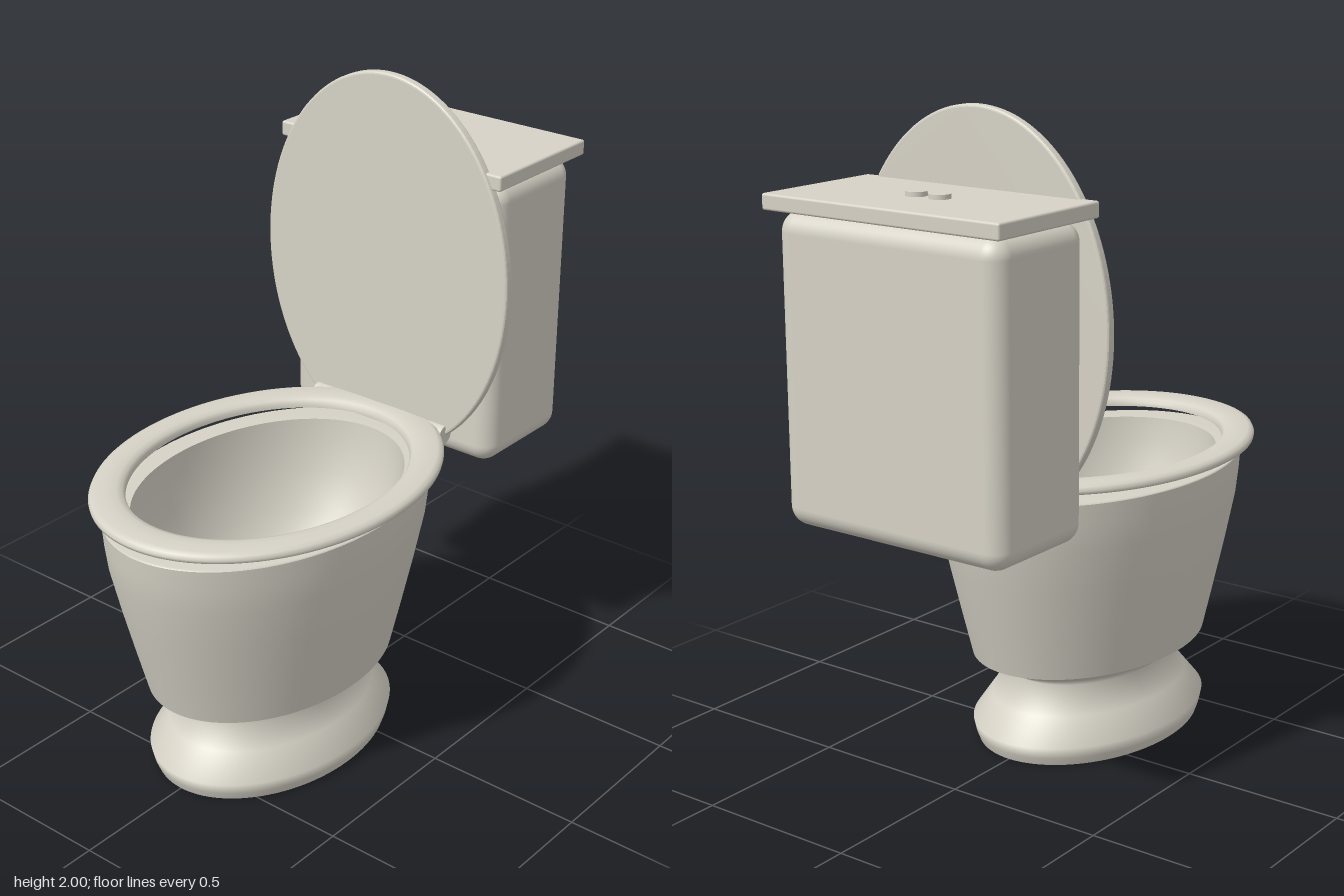
import * as THREE from 'three';
import { RoundedBoxGeometry } from 'three/addons/geometries/RoundedBoxGeometry.js';

export function createModel() {
  const group = new THREE.Group();
  const ceramic = new THREE.MeshStandardMaterial({ color: 0xd6d2c6 });
  ceramic.name = 'ceramic';
  const bowlZ = 0.187; // centre of all the oval parts
  const oval = 0.71; // width of the ovals relative to their length

  function add(name, geometry, x = 0, y = 0, z = 0) {
    const mesh = new THREE.Mesh(geometry, ceramic);
    mesh.name = name;
    mesh.position.set(x, y, z);
    group.add(mesh);
    return mesh;
  }

  // Oval lathe; profile radii are measured along z
  function addOval(name, profile, widthRatio = oval) {
    const points = profile.map(([r, y]) => new THREE.Vector2(r, y));
    const geometry = new THREE.LatheGeometry(points, 96);
    geometry.scale(widthRatio, 1, 1);
    return add(name, geometry, 0, 0, bowlZ);
  }

  // Foot and waist
  addOval('footUnderside', [[0, 0], [0.425, 0]]);
  addOval('pedestal', [[0.425, 0], [0.436, 0.025], [0.445, 0.06], [0.375, 0.137], [0.305, 0.215], [0.37, 0.252], [0.435, 0.287]]);

  // Bowl: underside ledge, outer wall, rim and hollow inside
  addOval('bowlUnderside', [[0.4, 0.285], [0.446, 0.285]]);
  addOval('bowlOuter', [[0.446, 0.285], [0.487, 0.43], [0.528, 0.58], [0.563, 0.72], [0.574, 0.8], [0.58, 0.865]]);
  addOval('bowlRim', [[0.58, 0.865], [0.576, 0.87], [0.482, 0.87]]);
  addOval('bowlInner', [[0.482, 0.87], [0.476, 0.8], [0.455, 0.7], [0.41, 0.58], [0.33, 0.475], [0.22, 0.405], [0.083, 0.36]]);
  addOval('drain', [[0.083, 0.36], [0, 0.36]]);

  // Seat ring with a softly domed top
  addOval('seat', [
    [0.482, 0.905], [0.59, 0.905], [0.601, 0.909], [0.603, 0.918], [0.597, 0.929], [0.58, 0.935],
    [0.54, 0.937], [0.51, 0.935], [0.491, 0.929], [0.483, 0.918], [0.482, 0.905],
  ], 0.765);

  // Raised lid: thin upright oval with a fine bevel
  const lidShape = new THREE.Shape();
  lidShape.absellipse(0, 0, 0.447, 0.592, 0, Math.PI * 2);
  const lid = new THREE.ExtrudeGeometry(lidShape, {
    depth: 0.016, bevelThickness: 0.008, bevelSize: 0.008, bevelSegments: 3, curveSegments: 64,
  });
  add('lid', lid, 0, 1.4, -0.369);

  // Hinge barrels
  for (const side of [-1, 1]) {
    const hinge = new THREE.CylinderGeometry(0.03, 0.03, 0.105, 24);
    hinge.rotateZ(Math.PI / 2);
    add(side > 0 ? 'leftHinge' : 'rightHinge', hinge, side * 0.2, 0.904, -0.345);
  }

  // Cistern with its cover and two flush buttons
  add('tank', new RoundedBoxGeometry(0.78, 0.905, 0.395, 6, 0.06), 0, 1.27, -0.578);
  add('tankCover', new RoundedBoxGeometry(0.82, 0.047, 0.44, 3, 0.007), 0, 1.747, -0.576);
  for (const side of [-1, 1]) {
    add(side > 0 ? 'leftButton' : 'rightButton',
      new THREE.CylinderGeometry(0.031, 0.031, 0.02, 32), side * 0.041, 1.774, -0.578);
  }

  return group;
}
